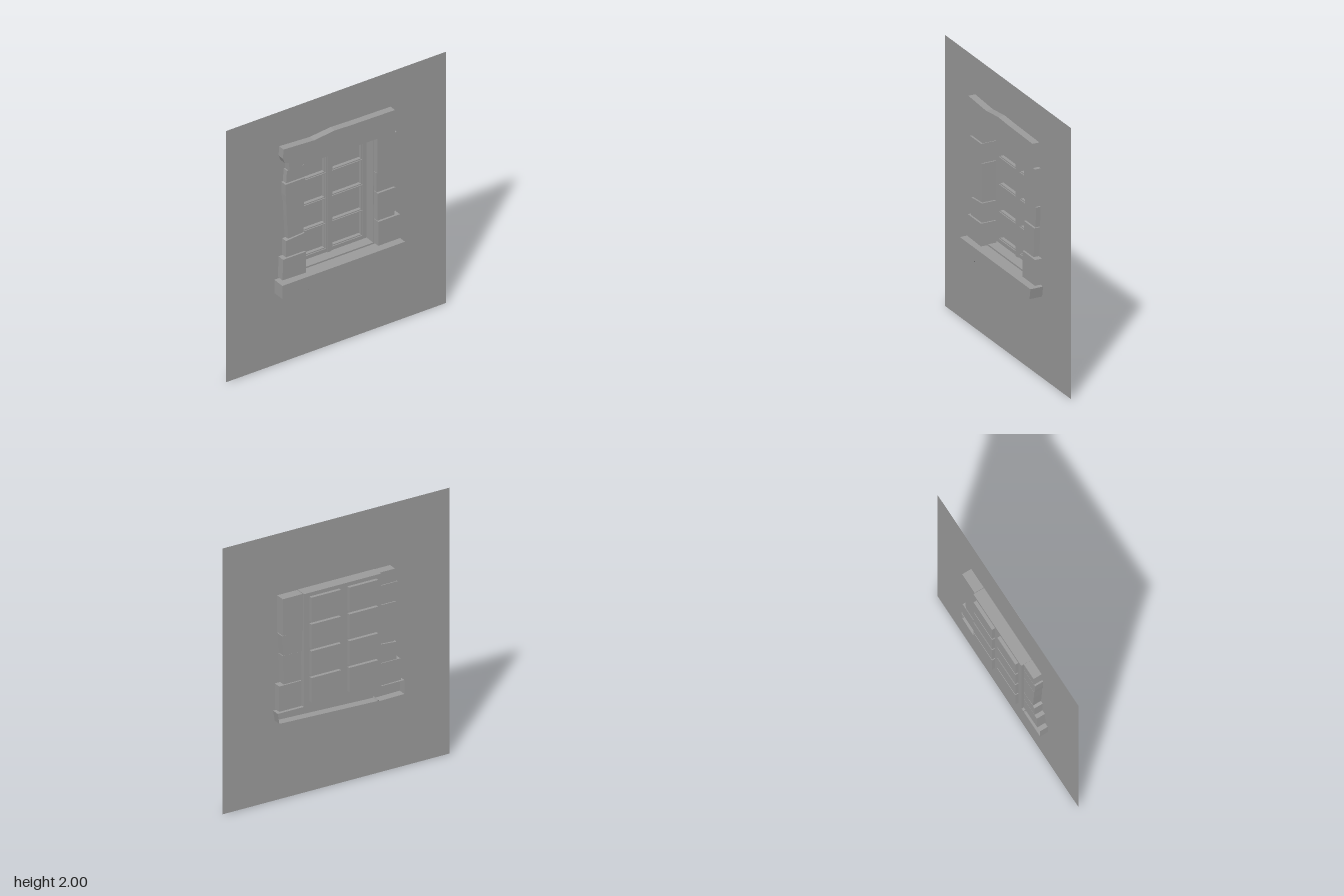
import * as THREE from 'three';

const material = new THREE.MeshStandardMaterial({ color: 0x9c9c9c, flatShading: true, side: THREE.DoubleSide });
const toPath = (pts, Kind = THREE.Shape) => new Kind(pts.map(([x, y]) => new THREE.Vector2(x, y)));
const rect = (x0, x1, y0, y1) => [[x0, y0], [x1, y0], [x1, y1], [x0, y1]];

function add(group, name, geometry) {
  const mesh = new THREE.Mesh(geometry, material);
  mesh.name = name;
  group.add(mesh);
}

// Outline extruded from z0 to z1; the caps lying at the z values in "open" are left out
function slab(pts, z0, z1, open = []) {
  const geometry = new THREE.ExtrudeGeometry(toPath(pts), { depth: z1 - z0, bevelEnabled: false });
  geometry.translate(0, 0, z0);
  const p = geometry.attributes.position;
  const kept = [];
  for (let i = 0; i < p.count; i += 3) {
    const isCap = open.some((z) => [0, 1, 2].every((k) => Math.abs(p.getZ(i + k) - z) < 1e-5));
    if (!isCap) for (let k = 0; k < 3; k++) kept.push(p.getX(i + k), p.getY(i + k), p.getZ(i + k));
  }
  const result = new THREE.BufferGeometry();
  result.setAttribute('position', new THREE.Float32BufferAttribute(kept, 3));
  result.computeVertexNormals();
  return result;
}

// Flat sheet with rectangular openings
function sheet(pts, holes, z) {
  const shape = toPath(pts);
  holes.forEach((h) => shape.holes.push(toPath(h, THREE.Path)));
  return new THREE.ShapeGeometry(shape).translate(0, 0, z);
}

export function createModel() {
  const model = new THREE.Group();
  model.name = 'windowInWall';

  // Thin wall with the window opening
  const opening = rect(-0.305, 0.305, 0.69, 1.54);
  add(model, 'wall', sheet(rect(-0.9, 0.9, 0, 2), [opening], 0.005));

  // Recessed frame: reveal, pierced plate with rebated openings, central mullion
  const frame = new THREE.Group();
  frame.name = 'windowFrame';
  model.add(frame);
  const zBack = -0.08;
  const zFront = -0.073;
  const panes = [];
  const rebates = [];
  for (const [x0, x1] of [[-0.268, -0.038], [0.028, 0.263]]) {
    for (let row = 0; row < 4; row++) {
      const y = 0.726 + row * 0.2015;
      panes.push(rect(x0, x1, y, y + 0.182));
      rebates.push(rect(x0 - 0.008, x1 + 0.008, y - 0.008, y + 0.19));
    }
  }
  add(frame, 'reveal', slab(opening, zBack, 0.005, [zBack, 0.005]));
  add(frame, 'framePlate', sheet(opening, panes, zBack));
  add(frame, 'glazingBars', sheet(opening, rebates, zFront));
  rebates.forEach((r) => add(frame, 'rebate', slab(r, zBack, zFront, [zBack, zFront])));
  add(frame, 'mullion', slab(rect(-0.02, 0.01, 0.69, 1.54), zFront, -0.065, [zFront]));

  // Panes set back behind the plate, open towards the front
  panes.forEach((p) => add(frame, 'pane', slab(p, -0.105, zBack, [zBack])));

  // Jamb stones: outline, back z, front z
  const rightStones = [
    [[[-0.436, 1.442], [-0.288, 1.442], [-0.288, 1.538], [-0.429, 1.538]], -0.06, 0.045],
    [[[-0.443, 1.295], [-0.29, 1.295], [-0.29, 1.438], [-0.448, 1.438], [-0.446, 1.35]], -0.06, 0.055],
    [[[-0.421, 0.995], [-0.293, 1.003], [-0.29, 1.29], [-0.436, 1.29], [-0.431, 1.17]], -0.06, 0.045],
    [[[-0.441, 0.856], [-0.288, 0.856], [-0.288, 0.998], [-0.441, 0.985]], -0.06, 0.05],
    [[[-0.476, 0.69], [-0.283, 0.685], [-0.285, 0.852], [-0.471, 0.852]], -0.06, 0.06],
  ];
  const leftStones = [
    [rect(0.308, 0.467, 1.262, 1.538), -0.068, 0.05],
    [[[0.31, 1.105], [0.456, 1.105], [0.466, 1.255], [0.308, 1.258]], -0.058, 0.04],
    [[[0.308, 0.885], [0.449, 0.885], [0.456, 1.1], [0.311, 1.1]], -0.05, 0.05],
    [rect(0.309, 0.486, 0.69, 0.88), -0.053, 0.06],
  ];
  rightStones.forEach((s) => add(model, 'rightJambStone', slab(...s)));
  leftStones.forEach((s) => add(model, 'leftJambStone', slab(...s)));

  // Rough lintel standing proud of the wall
  const lintel = [[-0.466, 1.727], [-0.471, 1.655], [-0.456, 1.615], [-0.421, 1.605], [-0.418, 1.537],
    [-0.316, 1.55], [-0.1, 1.547], [0.447, 1.543], [0.447, 1.722], [0.1, 1.727], [-0.046, 1.732], [-0.216, 1.713]];
  add(model, 'lintel', slab(lintel, 0.005, 0.058));

  // Sill passing through the wall, hollow at the back
  const sill = [[-0.506, 0.573], [-0.306, 0.57], [-0.296, 0.586], [-0.291, 0.574], [0.486, 0.6], [0.499, 0.678], [-0.506, 0.678]];
  add(model, 'sill', slab(sill, -0.055, 0.102, [-0.055]));

  return model;
}
